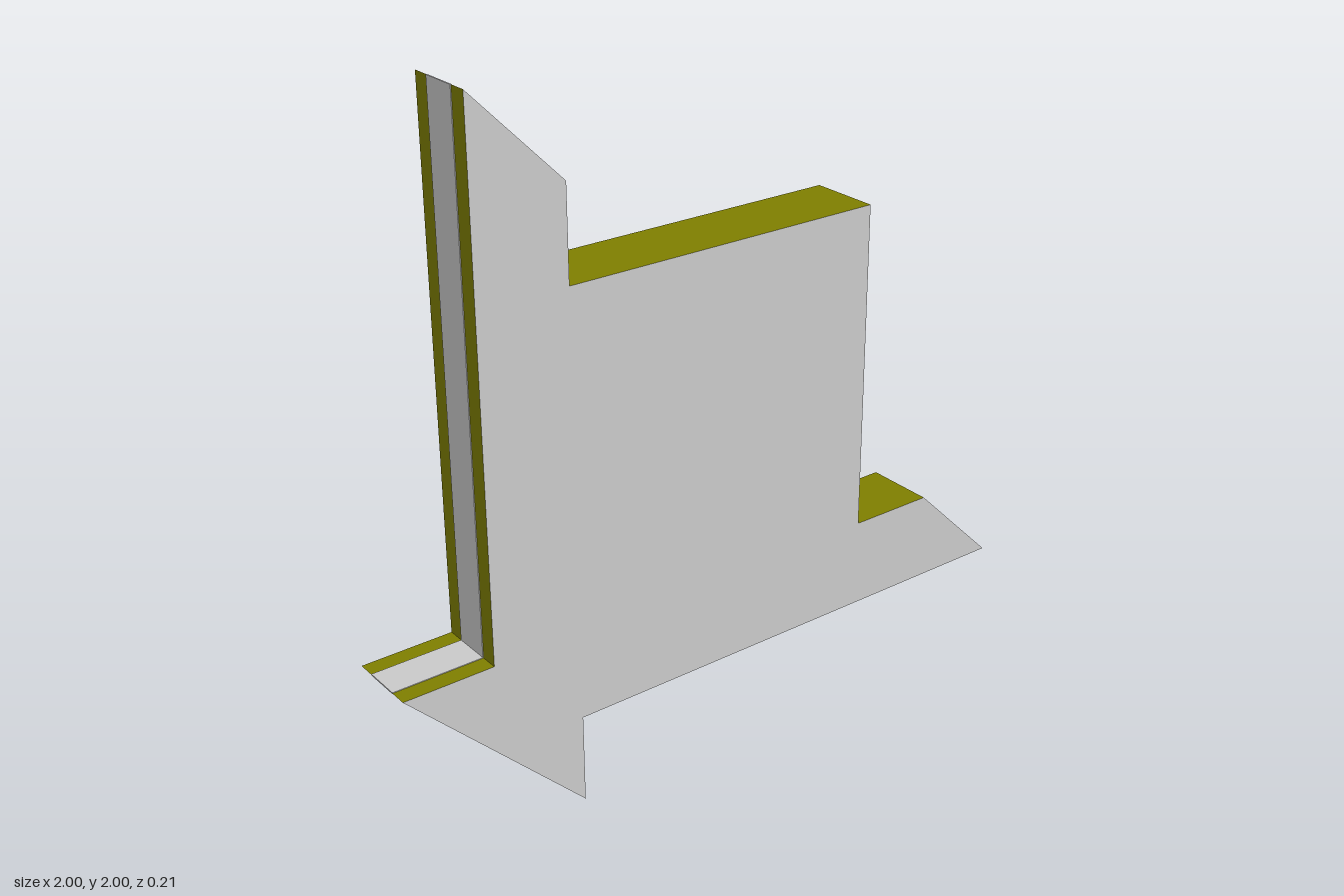
import * as THREE from 'three';

const HALF = 0.103; // half thickness of the plate
const STRIP = 0.105; // width of the inlaid edge strips

// Outline of the plate, counter-clockwise
const outline = [
  [-0.74, 2], [-0.74, 0.525], [-1, 0.525], [-0.48, 0.005], [-0.48, 0.265], [1, 0.265],
  [0.735, 0.525], [0.478, 0.525], [0.478, 1.48], [-0.48, 1.48], [-0.48, 1.74],
].map(([x, y]) => new THREE.Vector2(x, y));

// Edges (by starting corner) that carry a grey strip
const stripEdges = [0, 1, 3, 4, 9];

export function createModel() {
  const group = new THREE.Group();
  const grey = new THREE.MeshStandardMaterial({ color: 0xcccccc });
  const olive = new THREE.MeshStandardMaterial({ color: 0x808000 });

  // Plate: grey faces, olive rim
  const geometry = new THREE.ExtrudeGeometry(new THREE.Shape(outline), {
    depth: 2 * HALF, bevelEnabled: false,
  });
  geometry.translate(0, 0, -HALF);
  const plate = new THREE.Mesh(geometry, [grey, olive]);
  plate.name = 'plate';
  group.add(plate);

  // Thin grey strips running along the middle of the rim
  const strips = new THREE.Group();
  strips.name = 'edgeStrips';
  for (const i of stripEdges) {
    const a = outline[i];
    const b = outline[(i + 1) % outline.length];
    const strip = new THREE.Mesh(new THREE.BoxGeometry(a.distanceTo(b), 0.004, STRIP), grey);
    strip.position.set((a.x + b.x) / 2, (a.y + b.y) / 2, 0);
    strip.rotation.z = Math.atan2(b.y - a.y, b.x - a.x);
    strip.name = 'edgeStrip';
    strips.add(strip);
  }
  group.add(strips);
  return group;
}
